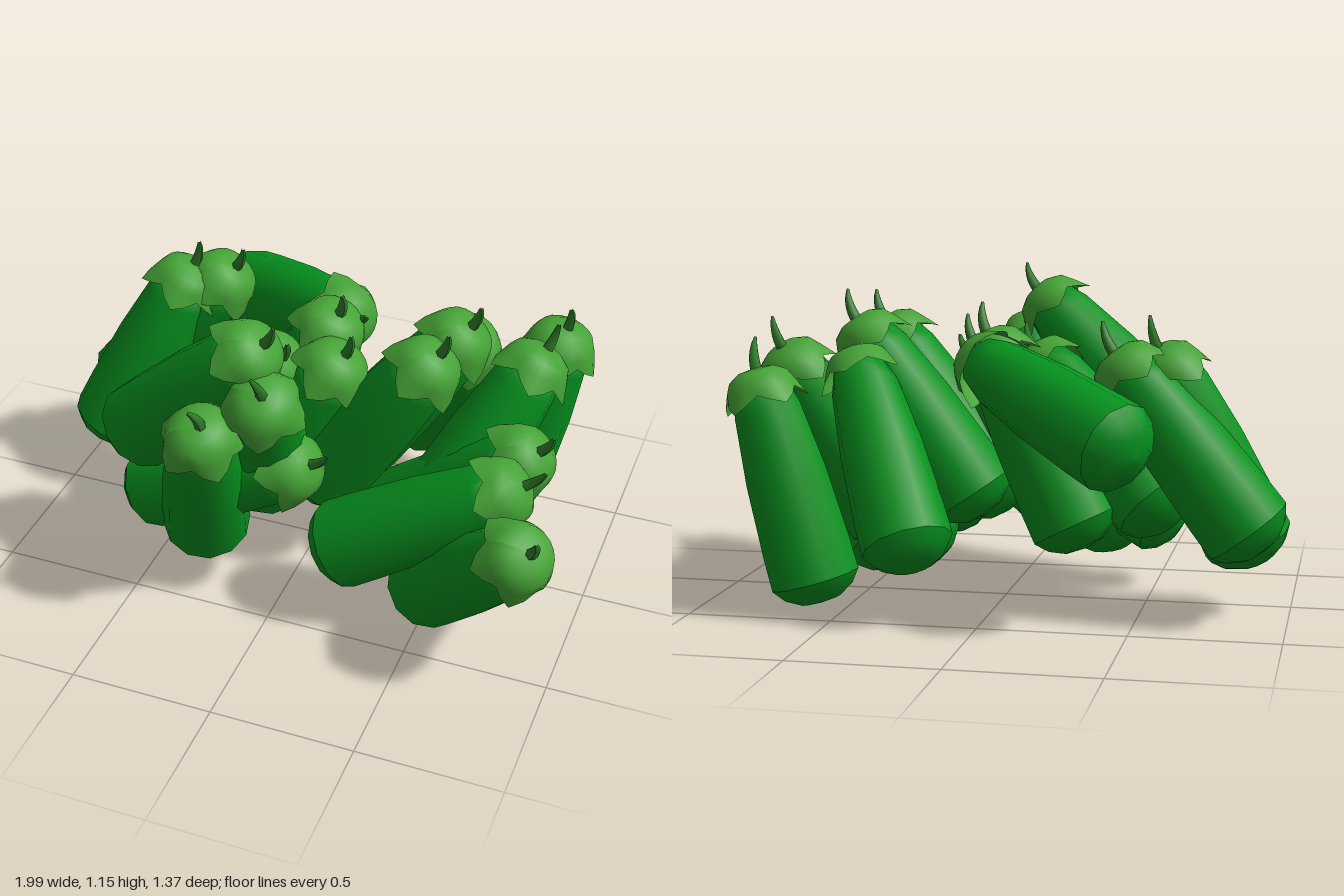
import * as THREE from 'three';

const skin = new THREE.MeshStandardMaterial({ color: 0x06931f });
const leaf = new THREE.MeshStandardMaterial({ color: 0x45a336, side: THREE.DoubleSide });
const stalk = new THREE.MeshStandardMaterial({ color: 0x2f8029 });
const lathe = (pts, n) => new THREE.LatheGeometry(pts.map(p => new THREE.Vector2(...p)), n);

// Tapered body and its blunt rounded end, kept apart for a crisp rim
const bodyGeo = lathe([[0.155, 0.085], [0.153, 0.2], [0.141, 0.45], [0.116, 0.68], [0.092, 0.76], [0, 0.79]], 12);
const endGeo = lathe([[0, 0], [0.07, 0.01], [0.122, 0.042], [0.155, 0.085]], 12);

// Domed cap whose lower rim is pulled into five flared, pointed sepals
function makeCap() {
  const geo = lathe([[0.122, 0.735], [0.116, 0.765], [0.1, 0.797], [0.06, 0.82], [0, 0.826]], 20);
  const p = geo.attributes.position;
  for (let i = 0; i < p.count; i++) {
    const row = i % 5;
    if (row > 1) continue;
    const step = Math.floor(i / 5) % 4;             // four steps per sepal
    const point = 1 - Math.abs(step - 2) / 2;       // 0 in the notch, 1 at the tip
    const flare = row === 0 ? 1 + 0.24 * point : 1 + 0.05 * point;
    const drop = row === 0 ? 0.045 * point : 0.01 * point;
    p.setXYZ(i, p.getX(i) * flare, p.getY(i) - drop, p.getZ(i) * flare);
  }
  geo.computeVertexNormals();
  return geo;
}

// Tapering horn that bends towards local +z
function makeStem() {
  const path = new THREE.QuadraticBezierCurve3(
    new THREE.Vector3(0, 0.805, 0), new THREE.Vector3(0, 0.875, 0), new THREE.Vector3(0, 0.925, 0.04));
  const n = 6, sides = 6;
  const geo = new THREE.TubeGeometry(path, n, 0.02, sides);
  const p = geo.attributes.position, v = new THREE.Vector3();
  for (let i = 0; i < p.count; i++) {
    const t = Math.floor(i / (sides + 1)) / n;
    const c = path.getPointAt(t);
    v.fromBufferAttribute(p, i).sub(c).multiplyScalar(1 - 0.75 * t * t).add(c);
    p.setXYZ(i, v.x, v.y, v.z);
  }
  geo.computeVertexNormals();
  return geo;
}

// Each row: centre of the rounded end, then centre of the cap
const layout = [
  [-0.85, 0.35, -0.28, -0.45, 0.86, -0.27],
  [-0.84, 0.29, -0.1, -0.58, 0.86, -0.21],
  [-0.47, 0.63, -0.56, 0.07, 0.86, -0.16],
  [-0.51, 0.4, -0.08, -0.12, 0.81, 0.13],
  [-0.51, 0.59, 0.3, -0.1, 1.0, 0.38],
  [-0.3, 0.26, 0.32, -0.19, 0.77, 0.57],
  [-0.13, 0.38, 0.16, -0.01, 0.89, 0.48],
  [-0.47, 0.3, 0.26, 0.04, 0.57, 0.36],
  [-0.24, 0.35, -0.13, 0.02, 0.86, -0.06],
  [-0.2, 0.33, 0.08, 0.08, 0.79, 0.1],
  [0.08, 0.4, 0.09, 0.43, 0.91, 0.11],
  [0.13, 0.42, -0.08, 0.48, 0.92, -0.07],
  [0.23, 0.27, -0.5, 0.49, 0.86, -0.18],
  [0.48, 0.31, 0.06, 0.73, 0.82, -0.14],
  [0.31, 0.2, 0.01, 0.8, 0.65, 0.12],
  [0.24, 0.3, 0.35, 0.78, 0.64, 0.32],
  [0.53, 0.15, 0.28, 0.89, 0.58, 0.56],
  [0.59, 0.17, -0.41, 0.76, 0.77, -0.4],
];

export function createModel() {
  const model = new THREE.Group();
  model.name = 'vegetablePile';
  const capGeo = makeCap(), stemGeo = makeStem();
  const parts = [['body', bodyGeo, skin], ['roundedEnd', endGeo, skin], ['sepalCap', capGeo, leaf], ['stem', stemGeo, stalk]];

  for (const [ax, ay, az, bx, by, bz] of layout) {
    const end = new THREE.Vector3(ax, ay, az), cap = new THREE.Vector3(bx, by, bz);
    const axis = cap.clone().sub(end).normalize();
    // The stem bends upwards and a little to the front
    const bend = new THREE.Vector3(0, 1, 0.6).projectOnPlane(axis).normalize();
    const veg = new THREE.Group();
    veg.name = 'vegetable';
    veg.quaternion.setFromRotationMatrix(new THREE.Matrix4().makeBasis(axis.clone().cross(bend), axis, bend));
    veg.position.copy(end).add(cap).multiplyScalar(0.5).addScaledVector(axis, -0.44);
    for (const [name, geo, mat] of parts) {
      const mesh = new THREE.Mesh(geo, mat);
      mesh.name = name;
      veg.add(mesh);
    }
    model.add(veg);
  }

  // Rest the pile on the ground
  const box = new THREE.Box3().setFromObject(model, true);
  for (const veg of model.children) veg.position.y -= box.min.y;
  return model;
}
